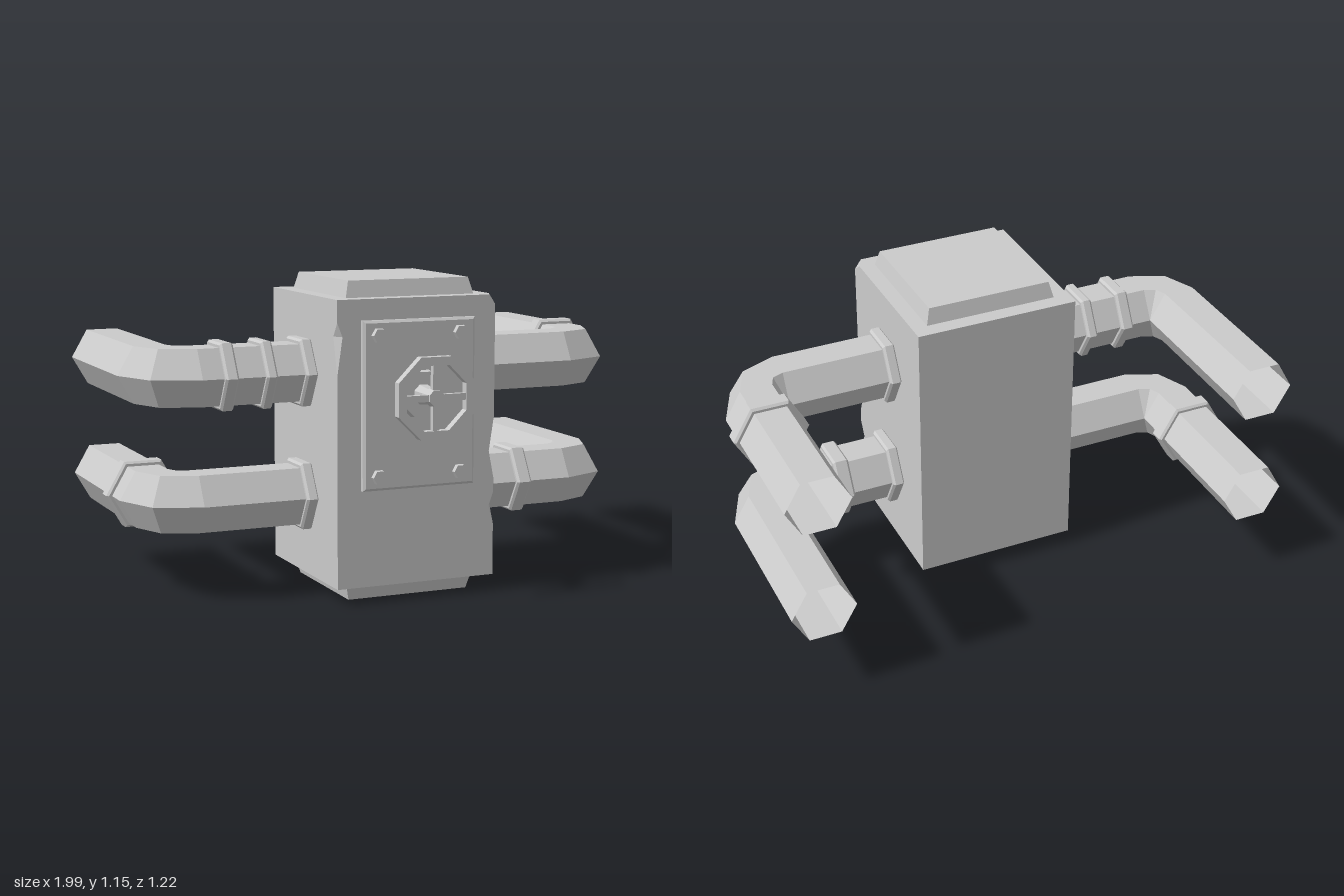
import * as THREE from 'three';

const material = new THREE.MeshStandardMaterial({ color: 0xcccccc, flatShading: true });
const openMaterial = new THREE.MeshStandardMaterial({ color: 0xcccccc, flatShading: true, side: THREE.DoubleSide });

function part(name, geometry, mat = material) {
  const geo = geometry.index ? geometry.toNonIndexed() : geometry;
  geo.computeVertexNormals();
  const mesh = new THREE.Mesh(geo, mat);
  mesh.name = name;
  return mesh;
}

// Skins equal-length rings of [x, y, z]; rings run anticlockwise seen from the far end
function loft(rings, capped) {
  const n = rings[0].length;
  const index = [];
  for (let r = 0; r < rings.length - 1; r++) {
    for (let i = 0; i < n; i++) {
      const a = r * n + i, b = r * n + (i + 1) % n;
      index.push(a, b, b + n, a, b + n, a + n);
    }
  }
  if (capped) {
    const top = (rings.length - 1) * n;
    for (let i = 1; i < n - 1; i++) index.push(0, i + 1, i, top, top + i, top + i + 1);
  }
  const geo = new THREE.BufferGeometry();
  geo.setAttribute('position', new THREE.Float32BufferAttribute(rings.flat(2), 3));
  geo.setIndex(index);
  return geo;
}

// Box body whose two front edges are chipped: [y, right cut x, z, left cut x, z]
function bodyGeometry() {
  const w = 0.308, front = 0.445, back = -0.175;
  const levels = [
    [0.06, 0, 0, 0, 0], [0.25, 0, 0, 0, 0], [0.315, 0.02, 0.03, 0, 0], [0.37, 0, 0, 0, 0],
    [0.42, 0, 0, 0, 0], [0.52, 0.02, 0.045, 0, 0], [0.65, 0, 0, 0, 0], [0.82, 0, 0, 0, 0],
    [0.96, 0, 0, 0.02, 0.035], [1.01, 0, 0, 0, 0], [1.055, 0, 0, 0, 0], [1.09, 0.025, 0.05, 0, 0],
  ];
  return loft(levels.map(([y, rx, rz, lx, lz]) => [
    [-w, y, back], [-w, y, front - lz], [-w + lx, y, front],
    [w - rx, y, front], [w, y, front - rz], [w, y, back],
  ]), true);
}

const R = 0.12, PIPE_Z = 0.133, BEND_X = 0.735, BACK_X = 0.855;

// Hexagonal pipe out of the +x side, hinged about its inner edge to run backwards
function pipeGeometry() {
  const pivotZ = PIPE_Z - R;
  // ring of the section at bend angle t, slid along its own axis by s
  const ring = (t, s) => Array.from({ length: 6 }, (_, i) => {
    const a = i * Math.PI / 3;
    const d = R + R * Math.cos(a);
    return [
      BEND_X + d * Math.sin(t) + s * Math.cos(t),
      -R * Math.sin(a),
      pivotZ + d * Math.cos(t) - s * Math.sin(t),
    ];
  });
  return loft([
    ring(0, 0.29 - BEND_X), ring(0, 0), ring(Math.PI / 4, 0),
    ring(Math.PI / 2, 0), ring(Math.PI / 2, 0.61 + pivotZ),
  ], false);
}

function collarGeometry(width) {
  const h = width / 2, b = 0.008;
  const profile = [[0.11, -h], [0.131, -h], [0.14, -h + b], [0.14, h - b], [0.131, h], [0.11, h]];
  return new THREE.LatheGeometry(profile.map(p => new THREE.Vector2(...p)), 6);
}

function sideCollar(x, width) {
  const mesh = part('pipeCollar', collarGeometry(width).rotateZ(Math.PI / 2));
  mesh.position.set(x, 0, PIPE_Z);
  return mesh;
}

function rearCollar(x, z) {
  const mesh = part('pipeCollar', collarGeometry(0.065).rotateY(Math.PI / 2).rotateX(Math.PI / 2));
  mesh.position.set(x, 0, z);
  return mesh;
}

function pipe(name, side, y, collars) {
  const group = new THREE.Group();
  group.name = name;
  const geo = pipeGeometry();
  if (side < 0) {
    // mirror and restore the winding
    geo.scale(-1, 1, 1);
    geo.setIndex(Array.from(geo.index.array).reverse());
  }
  group.add(part('pipeTube', geo, openMaterial), sideCollar(side * 0.328, 0.046), ...collars);
  group.position.y = y;
  return group;
}

// Prism along z, with its back face at z
function prism(name, backRadius, frontRadius, depth, sides, x, y, z) {
  const geo = new THREE.CylinderGeometry(frontRadius, backRadius, depth, sides);
  geo.rotateY(Math.PI / sides).rotateX(Math.PI / 2);
  const mesh = part(name, geo);
  mesh.position.set(x, y, z + depth / 2);
  return mesh;
}

function octagon(Type, apothem) {
  const r = apothem / Math.cos(Math.PI / 8);
  return new Type(Array.from({ length: 8 }, (_, i) => {
    const a = (i + 0.5) * Math.PI / 4;
    return new THREE.Vector2(r * Math.cos(a), r * Math.sin(a));
  }));
}

function valve() {
  const group = new THREE.Group();
  group.name = 'valve';
  const rim = octagon(THREE.Shape, 0.145);
  rim.holes.push(octagon(THREE.Path, 0.115));
  const wheel = part('valveWheelRim', new THREE.ExtrudeGeometry(rim, { depth: 0.032, bevelEnabled: false }));
  wheel.position.z = 0.574;
  group.add(
    wheel,
    prism('valveFlange', 0.09, 0.086, 0.028, 8, 0, 0, 0.467),
    prism('valveStem', 0.038, 0.027, 0.085, 8, 0, 0, 0.495),
    prism('valveHub', 0.034, 0.03, 0.034, 8, 0, 0, 0.572),
  );
  for (const [w, h] of [[0.236, 0.024], [0.024, 0.236]]) {
    const spoke = part('valveSpoke', new THREE.BoxGeometry(w, h, 0.02));
    spoke.position.z = 0.59;
    group.add(spoke);
  }
  group.position.y = 0.75;
  return group;
}

function frontPlate() {
  const rect = (z, inset) => {
    const x = 0.218 - inset, lo = 0.41 + inset, hi = 1.015 - inset;
    return [[-x, lo, z], [x, lo, z], [x, hi, z], [-x, hi, z]];
  };
  return part('frontPlate', loft([rect(0.44, 0), rect(0.46, 0), rect(0.467, 0.009)], true));
}

export function createModel() {
  const model = new THREE.Group();
  model.name = 'valveBox';
  model.add(part('body', bodyGeometry()), frontPlate(), valve());

  // Tapered caps above and below
  for (const [name, y, top, bottom] of [['topCap', 1.12, 0.235, 0.25], ['bottomCap', 0.03, 0.25, 0.235]]) {
    const geo = new THREE.CylinderGeometry(top * Math.SQRT2, bottom * Math.SQRT2, 0.06, 4).rotateY(Math.PI / 4);
    const cap = part(name, geo);
    cap.position.set(0, y, 0.135);
    model.add(cap);
  }

  // Plate bolts
  for (const x of [-0.16, 0.157]) {
    for (const y of [0.46, 0.963]) model.add(prism('plateBolt', 0.028, 0.026, 0.018, 6, x, y, 0.467));
  }

  model.add(
    pipe('upperLeftPipe', 1, 0.809, [rearCollar(BACK_X, -0.112)]),
    pipe('lowerLeftPipe', 1, 0.357, [sideCollar(0.535, 0.06)]),
    pipe('upperRightPipe', -1, 0.809, [sideCollar(-0.63, 0.05), sideCollar(-0.48, 0.042)]),
    pipe('lowerRightPipe', -1, 0.357, [rearCollar(-BACK_X, -0.118)]),
  );
  return model;
}
